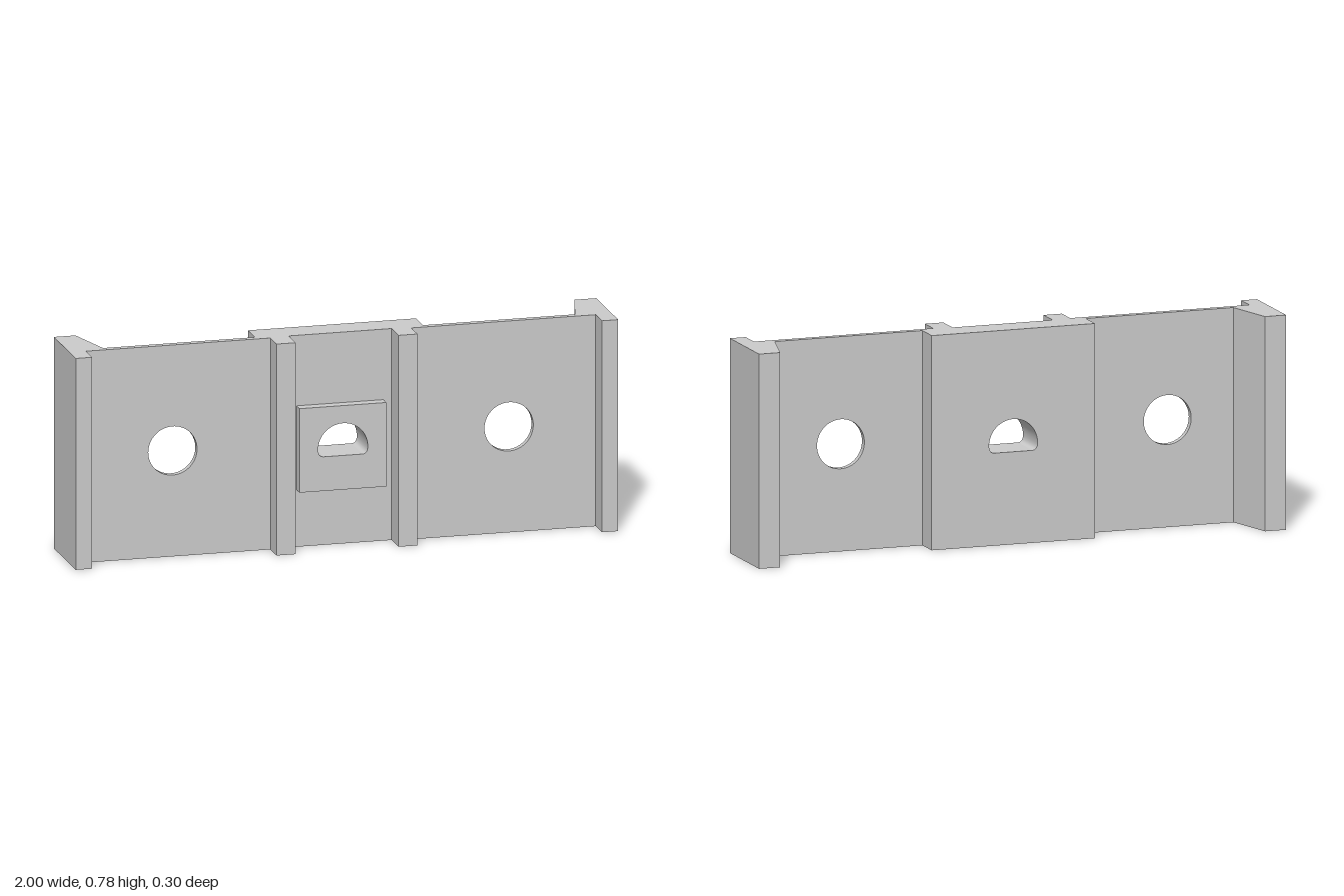
import * as THREE from 'three';

const H = 0.78;
const material = new THREE.MeshStandardMaterial({ color: 0xcccccc });

// Upright plate between two depths, with optional cut-outs
function plate(x0, x1, y0, y1, z0, z1, holes = []) {
  const shape = new THREE.Shape([[x0, y0], [x1, y0], [x1, y1], [x0, y1]].map(p => new THREE.Vector2(...p)));
  shape.holes.push(...holes);
  const geo = new THREE.ExtrudeGeometry(shape, { depth: z1 - z0, bevelEnabled: false, curveSegments: 32 });
  return geo.translate(0, 0, z0);
}

// Plan outline given as [x, z], raised to the full height
function column(points) {
  const shape = new THREE.Shape(points.map(([x, z]) => new THREE.Vector2(x, -z)));
  return new THREE.ExtrudeGeometry(shape, { depth: H, bevelEnabled: false }).rotateX(-Math.PI / 2);
}

// D-shaped opening: round top, flat bottom with softened corners
function archHole() {
  const r = 0.092, cy = 0.363, bottom = 0.336, c = 0.022;
  const path = new THREE.Path();
  path.moveTo(r, cy);
  path.absarc(0, cy, r, 0, Math.PI, false);
  path.quadraticCurveTo(-r, bottom, -r + c, bottom);
  path.lineTo(r - c, bottom);
  path.quadraticCurveTo(r, bottom, r, cy);
  return path;
}

export function createModel() {
  const group = new THREE.Group();
  const add = (name, geo) => {
    const mesh = new THREE.Mesh(geo, material);
    mesh.name = name;
    group.add(mesh);
  };

  // Thick middle with the raised square pad on its front
  add('centreBlock', plate(-0.31, 0.31, 0, H, -0.055, 0.055, [archHole()]));
  add('centrePad', plate(-0.16, 0.16, 0.21, 0.52, 0.055, 0.095, [archHole()]));

  for (const [side, s] of [['left', 1], ['right', -1]]) {
    // Thin web with a round hole
    const hole = new THREE.Path().absarc(s * 0.62, 0.39, 0.09, 0, Math.PI * 2, false);
    const [a, b] = [s * 0.26, s * 0.87].sort((p, q) => p - q);
    add(side + 'Web', plate(a, b, 0, H, 0.04, 0.065, [hole]));

    // Rib beside the pad
    add(side + 'Rib', column([[0.19, 0.055], [0.26, 0.055], [0.26, 0.15], [0.19, 0.15]]
      .map(([x, z]) => [s * x, z])));

    // End flange, tapered at the back and stepped at the front
    add(side + 'Flange', column([
      [0.92, -0.15], [1, -0.15], [1, 0.15], [0.94, 0.15], [0.94, 0.065], [0.87, 0.065], [0.87, 0.04],
    ].map(([x, z]) => [s * x, z])));
  }
  return group;
}
